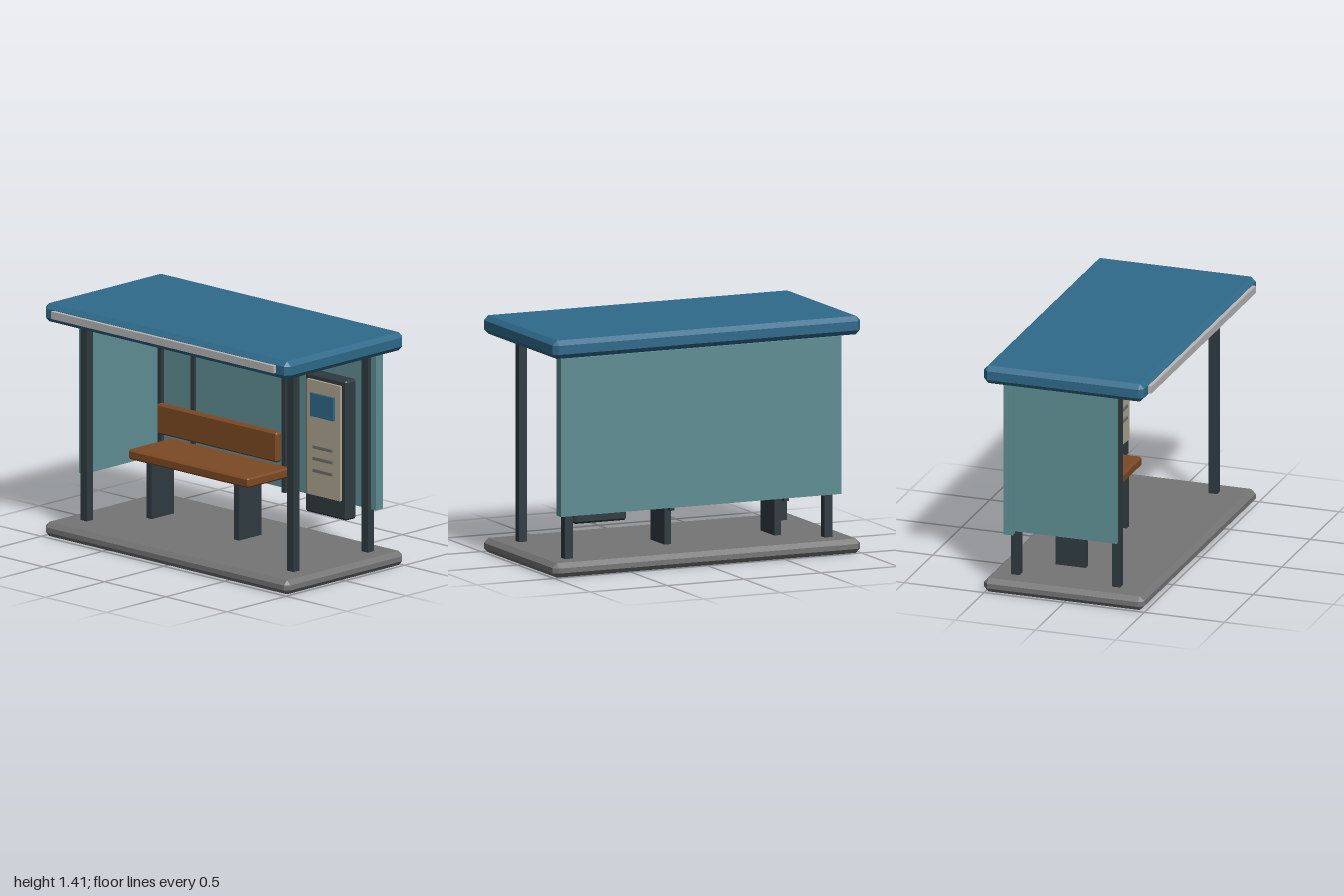
import * as THREE from 'three';
import { ConvexGeometry } from 'three/addons/geometries/ConvexGeometry.js';

const mat = (color) => new THREE.MeshStandardMaterial({ color, flatShading: true });
const blue = mat(0x2f6a8a), glass = mat(0x5f8f94), steel = mat(0x2f3b41), wood = mat(0x7d4a24);
const concrete = mat(0x757575), paper = mat(0xb0a792), trim = mat(0xb8b8b8), ink = mat(0x73706a);

// Box with every edge cut back by c
function chamferedBox(w, h, d, c) {
  const pts = [];
  for (const sx of [-1, 1]) for (const sy of [-1, 1]) for (const sz of [-1, 1]) {
    const x = w / 2, y = h / 2, z = d / 2;
    pts.push(new THREE.Vector3(sx * x, sy * (y - c), sz * (z - c)));
    pts.push(new THREE.Vector3(sx * (x - c), sy * y, sz * (z - c)));
    pts.push(new THREE.Vector3(sx * (x - c), sy * (y - c), sz * z));
  }
  return new ConvexGeometry(pts);
}

// Adds a box given by its [min, max] ranges, optionally chamfered
function block(parent, name, material, [x0, x1], [y0, y1], [z0, z1], chamfer = 0) {
  const size = [x1 - x0, y1 - y0, z1 - z0];
  const geo = chamfer ? chamferedBox(...size, chamfer) : new THREE.BoxGeometry(...size);
  const mesh = new THREE.Mesh(geo, material);
  mesh.name = name;
  mesh.position.set((x0 + x1) / 2, (y0 + y1) / 2, (z0 + z1) / 2);
  parent.add(mesh);
  return mesh;
}

function subgroup(parent, name) {
  const g = new THREE.Group();
  g.name = name;
  parent.add(g);
  return g;
}

export function createModel() {
  const model = new THREE.Group();
  model.name = 'busShelter';

  // Ground slab and roof
  block(model, 'baseSlab', concrete, [-1, 1], [0, 0.086], [-0.51, 0.49], 0.028);
  block(model, 'roof', blue, [-1, 1], [1.305, 1.415], [-0.51, 0.49], 0.028);
  block(model, 'roofTrim', trim, [-0.91, 0.91], [1.34, 1.385], [0.48, 0.513]);

  // Corner posts
  const posts = subgroup(model, 'posts');
  for (const x of [-0.845, 0.845]) for (const z of [0.277, -0.351]) {
    block(posts, z > 0 ? 'frontPost' : 'backPost', steel,
      [x - 0.026, x + 0.026], [0.08, 1.31], [z - 0.026, z + 0.026]);
  }

  // Back and side panels with slim uprights
  const walls = subgroup(model, 'walls');
  block(walls, 'backPanel', glass, [-0.912, 0.912], [0.345, 1.287], [-0.41, -0.352]);
  block(walls, 'sidePanel', glass, [-0.895, -0.848], [0.366, 1.297], [-0.352, 0.29]);
  for (const x of [-0.575, 0.168]) {
    block(walls, 'upright', steel, [x - 0.015, x + 0.015], [0.32, 1.31], [-0.368, -0.336]);
  }

  // Bench
  const bench = subgroup(model, 'bench');
  block(bench, 'seat', wood, [-0.737, 0.245], [0.43, 0.49], [-0.325, 0.04], 0.01);
  block(bench, 'backrest', wood, [-0.737, 0.245], [0.54, 0.722], [-0.25, -0.2], 0.01);
  for (const x of [-0.603, 0.112]) {
    block(bench, 'benchLeg', steel, [x - 0.022, x + 0.022], [0.08, 0.418], [-0.188, 0]);
  }

  // Information board
  const board = subgroup(model, 'informationBoard');
  block(board, 'boardCase', steel, [0.442, 0.783], [0.278, 1.127], [-0.325, -0.234], 0.012);
  block(board, 'poster', paper, [0.476, 0.747], [0.395, 1.093], [-0.238, -0.217]);
  block(board, 'posterPicture', blue, [0.516, 0.707], [0.876, 1.017], [-0.22, -0.202]);
  for (const y of [0.69, 0.62, 0.547]) {
    block(board, 'posterStripe', ink, [0.532, 0.69], [y - 0.009, y + 0.009], [-0.22, -0.207]);
  }

  return model;
}
